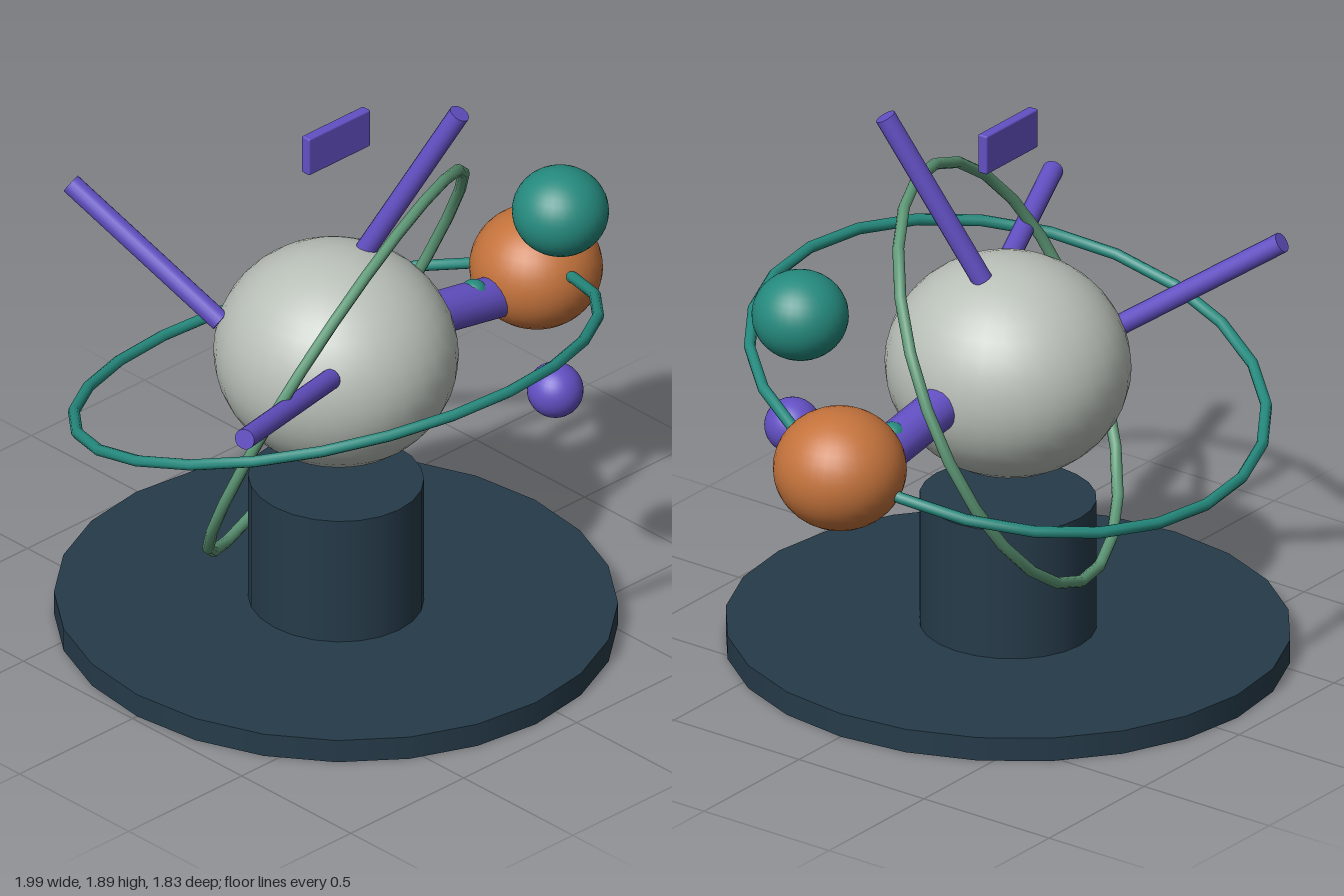
import * as THREE from 'three';
import { RoundedBoxGeometry } from 'three/addons/geometries/RoundedBoxGeometry.js';

export function createModel() {
  const root = new THREE.Group();
  root.name = 'orbitModel';
  const V = (x, y, z) => new THREE.Vector3(x, y, z);

  const material = (name, color) => {
    const m = new THREE.MeshStandardMaterial({ color });
    m.name = name;
    return m;
  };
  const navy = material('dark navy', 0x263b4a);
  const grey = material('pale grey', 0xb9c0b8);
  const purple = material('violet', 0x6350c4);
  const teal = material('teal', 0x258a7e);
  const green = material('sage green', 0x5f9a78);
  const orange = material('copper orange', 0xc4733c);

  const add = (name, geometry, mat, pos = V(0, 0, 0)) => {
    const mesh = new THREE.Mesh(geometry, mat);
    mesh.name = name;
    mesh.position.copy(pos);
    root.add(mesh);
    return mesh;
  };

  // Upright disc or column, slightly narrower across x than z
  const column = (name, rx, rz, y0, y1) => {
    const mesh = add(name, new THREE.CylinderGeometry(1, 1, y1 - y0, 24), navy, V(-0.1, (y0 + y1) / 2, 0));
    mesh.scale.set(rx, 1, rz);
  };

  // Sphere with its own radius on each axis
  const ball = (name, mat, pos, rx, ry, rz) =>
    add(name, new THREE.SphereGeometry(1, 32, 20), mat, pos).scale.set(rx, ry, rz);

  // Straight rod between two points
  const rod = (name, from, to, radius) => {
    const dir = to.clone().sub(from);
    const mesh = add(name, new THREE.CylinderGeometry(radius, radius, dir.length(), 16), purple,
      from.clone().add(to).multiplyScalar(0.5));
    mesh.quaternion.setFromUnitVectors(V(0, 1, 0), dir.normalize());
  };

  // Closed elliptical hoop spanned by two half-axes
  const hoop = (name, mat, center, a, b, radius) => {
    const points = [];
    for (let i = 0; i < 24; i++) {
      const t = (i / 24) * Math.PI * 2;
      points.push(center.clone().addScaledVector(a, Math.cos(t)).addScaledVector(b, Math.sin(t)));
    }
    const curve = new THREE.CatmullRomCurve3(points, true);
    add(name, new THREE.TubeGeometry(curve, 24, radius, 8, true), mat);
  };

  // Stand
  column('baseDisc', 0.88, 0.917, 0, 0.08);
  column('pedestal', 0.273, 0.288, 0.08, 0.525);

  // Spheres
  ball('centralSphere', grey, V(-0.1, 0.987, 0), 0.383, 0.361, 0.4);
  ball('orangeSphere', orange, V(0.785, 0.941, 0), 0.212, 0.198, 0.215);
  ball('tealSphere', teal, V(0.616, 1.337, 0.287), 0.154, 0.145, 0.156);
  ball('smallVioletSphere', purple, V(0.42, 0.832, 0.466), 0.09, 0.09, 0.091);
  ball('armStud', teal, V(0.51, 0.96, 0), 0.042, 0.04, 0.043);

  // Orbit hoops
  hoop('tealHoop', teal, V(-0.1, 0.943, 0), V(0.878, 0, 0), V(0, 0.232, 0.792), 0.019);
  hoop('greenHoop', green, V(-0.1, 0.955, 0), V(0.665, 0, -0.27), V(0.14, 0.647, 0.265), 0.019);

  // Arm to the orange sphere and the three spars
  rod('sideArm', V(0.2, 0.973, 0), V(0.66, 0.893, 0), 0.071);
  rod('topSpar', V(0.022, 1.32, 0.01), V(0.177, 1.873, 0.28), 0.034);
  rod('frontSpar', V(-0.365, 1.1, 0.25), V(-0.965, 1.22, 0.477), 0.034);
  rod('backSpar', V(-0.365, 1.1, -0.255), V(-0.535, 1.463, -0.765), 0.034);

  // Floating plate
  add('floatingPlate', new RoundedBoxGeometry(0.272, 0.134, 0.036, 2, 0.006), purple, V(-0.1, 1.766, 0));

  return root;
}
